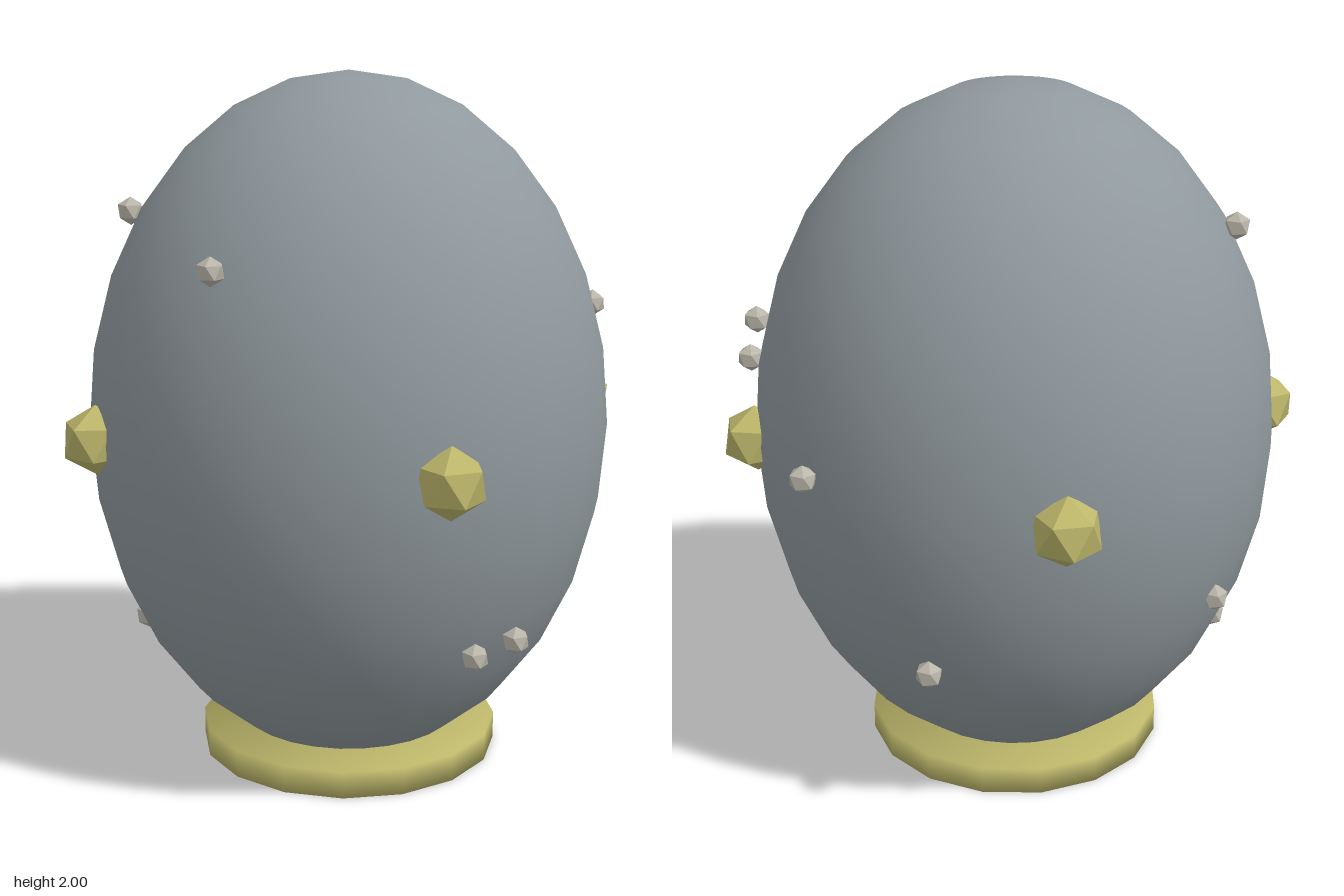
import * as THREE from 'three';

const shellGrey = new THREE.MeshStandardMaterial({ color: 0x90999e });
shellGrey.name = 'shellGrey';
const paleGold = new THREE.MeshStandardMaterial({ color: 0xbdb76b });
paleGold.name = 'paleGold';
const pearlBeige = new THREE.MeshStandardMaterial({ color: 0xbab6a9 });
pearlBeige.name = 'pearlBeige';

function addMesh(parent, name, geometry, material, position = [0, 0, 0]) {
  const mesh = new THREE.Mesh(geometry, material);
  mesh.name = name;
  mesh.position.set(...position);
  parent.add(mesh);
  return mesh;
}

// Faceted stone standing on one corner, a lower corner pointing to +z
function stoneGeometry(radius) {
  const geometry = new THREE.IcosahedronGeometry(radius, 0);
  geometry.rotateX(-Math.atan((1 + Math.sqrt(5)) / 2));
  geometry.rotateY(Math.PI);
  return geometry;
}

// Sixteen-sided disc whose normals run smoothly round the rim
function baseGeometry(radius, height, sides) {
  const points = [];
  for (let i = 0; i < sides; i++) {
    const a = (i / sides) * Math.PI * 2;
    points.push(new THREE.Vector2(Math.cos(a) * radius, Math.sin(a) * radius));
  }
  const geometry = new THREE.ExtrudeGeometry(new THREE.Shape(points), { depth: height, bevelEnabled: false });
  geometry.rotateX(-Math.PI / 2);
  const pos = geometry.attributes.position;
  const normal = new THREE.Vector3();
  for (let i = 0; i < pos.count; i++) {
    normal.set(pos.getX(i) / radius, pos.getY(i) > height / 2 ? 1 : -1, pos.getZ(i) / radius).normalize();
    geometry.attributes.normal.setXYZ(i, normal.x, normal.y, normal.z);
  }
  return geometry;
}

export function createModel() {
  const model = new THREE.Group();
  model.name = 'decoratedEgg';

  // Egg body
  const egg = new THREE.SphereGeometry(1, 28, 14);
  egg.scale(0.75, 1, 0.75);
  addMesh(model, 'eggShell', egg, shellGrey, [0, 1, 0]);

  // Foot
  addMesh(model, 'base', baseGeometry(0.44, 0.08, 16), paleGold);

  // Four large stones round the waist
  const gem = stoneGeometry(0.1);
  ['front', 'left', 'back', 'right'].forEach((side, i) => {
    const a = (i * Math.PI) / 2;
    const mesh = addMesh(model, side + 'Gem', gem, paleGold, [Math.sin(a) * 0.75, 1, Math.cos(a) * 0.75]);
    mesh.rotation.y = a;
  });

  // Small scattered stones
  const pearls = new THREE.Group();
  pearls.name = 'pearls';
  model.add(pearls);
  const pearl = stoneGeometry(0.04);
  [
    [-0.525, 1.52, 0.4], [-0.59, 1.61, -0.18],
    [0.725, 1.315, 0.12], [0.75, 1.23, 0.04],
    [0.645, 1.05, -0.42], [0.34, 0.515, -0.575],
    [0.125, 0.47, 0.64], [0.255, 0.495, 0.62],
    [-0.57, 0.4, -0.18], [-0.47, 0.645, -0.52],
  ].forEach((p) => addMesh(pearls, 'pearl', pearl, pearlBeige, p));

  return model;
}
